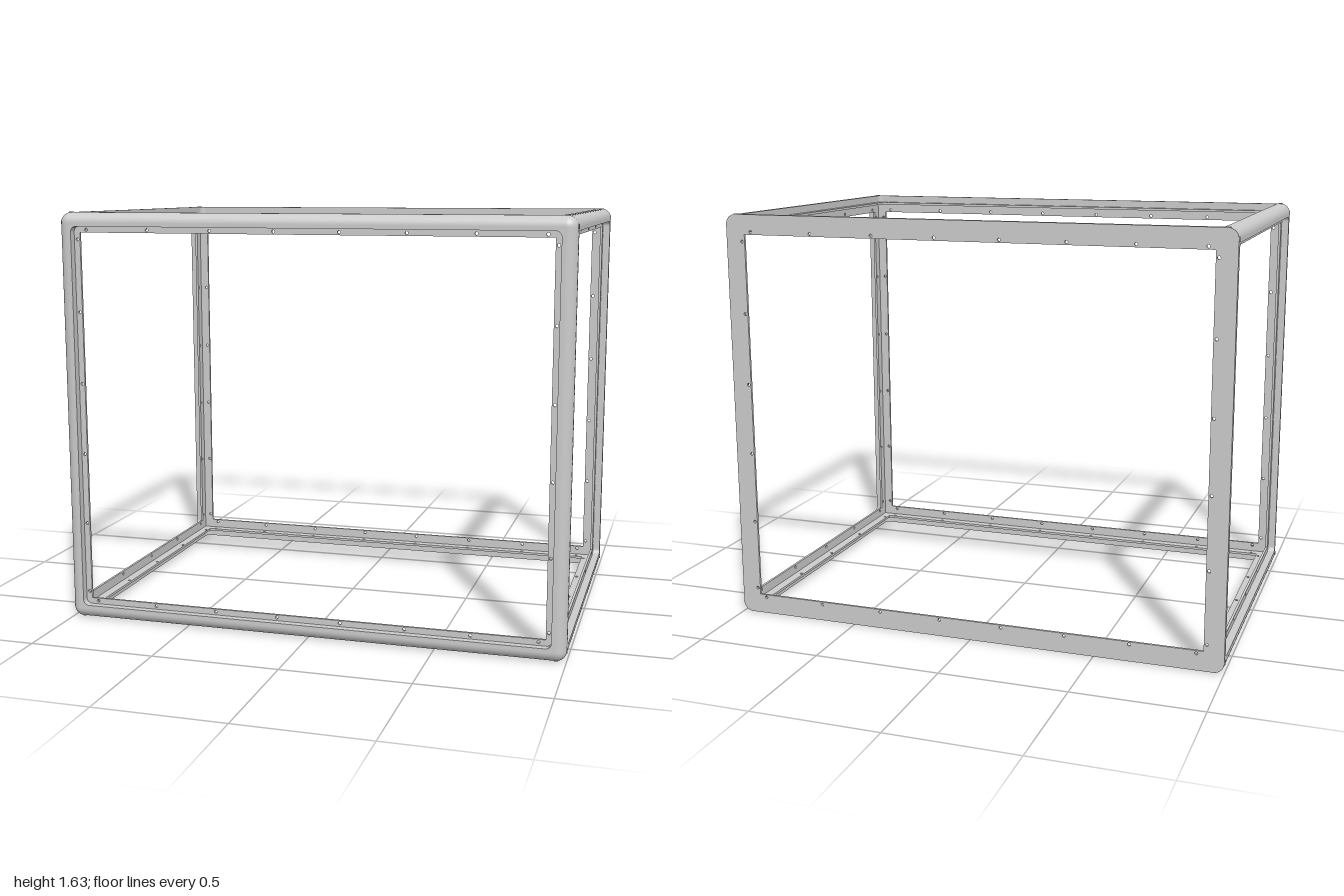
import * as THREE from 'three';

const HALF = [1, 0.816, 0.69];  // half extents, counting the edge cut off at the back
const R = 0.04;                 // outer edge radius, also the core bar thickness
const COVER = 0.054;            // inset of the raised border
const LIP = 0.078;              // inset of the opening
const RECESS = 0.03;            // depth of the lip below the outside
const SCREWS = [8, 6, 5];       // lip holes along x, y, z
const material = new THREE.MeshStandardMaterial({ color: 0xcccccc });

function add(parent, name, geometry) {
  const mesh = new THREE.Mesh(geometry, material);
  mesh.name = name;
  parent.add(mesh);
  return mesh;
}

// Bar (one sign is 0) or corner block (no zero), rounded on the outside
function coreBlock(signs) {
  const size = [], centre = [], segs = [];
  signs.forEach((s, i) => {
    const cut = i === 2 && s < 0 ? RECESS : 0;
    size[i] = s ? R - cut : 2 * (HALF[i] - R);
    centre[i] = s * (HALF[i] - R + size[i] / 2);
    segs[i] = s && !cut ? 8 : 1;
  });
  const g = new THREE.BoxGeometry(...size, ...segs).translate(...centre);
  const pos = g.attributes.position, nor = g.attributes.normal;
  const p = new THREE.Vector3(), n = new THREE.Vector3(), d = new THREE.Vector3();
  const inner = new THREE.Vector3(...HALF).subScalar(R);
  const low = new THREE.Vector3(-inner.x, -inner.y, -10); // flat at the back
  for (let i = 0; i < pos.count; i++) {
    p.fromBufferAttribute(pos, i);
    n.fromBufferAttribute(nor, i);
    const q = p.clone().clamp(low, inner);
    d.subVectors(p, q);
    const reach = Math.max(Math.abs(d.x), Math.abs(d.y), Math.abs(d.z));
    if (reach < 1e-6) continue;
    const outside = d.dot(n) > R - 1e-5;
    d.normalize();
    if (outside) nor.setXYZ(i, d.x, d.y, d.z);
    q.addScaledVector(d, reach);
    pos.setXYZ(i, q.x, q.y, q.z);
  }
  return g;
}

// Rectangle outline with optional rounded corners
function rect(target, a, b, r) {
  if (!r) {
    target.moveTo(-a, -b).lineTo(a, -b).lineTo(a, b).lineTo(-a, b).closePath();
    return target;
  }
  target.absarc(a - r, b - r, r, 0, Math.PI / 2);
  target.absarc(r - a, b - r, r, Math.PI / 2, Math.PI);
  target.absarc(r - a, r - b, r, Math.PI, Math.PI * 1.5);
  target.absarc(a - r, r - b, r, Math.PI * 1.5, Math.PI * 2);
  target.closePath();
  return target;
}

function extrude(shape, from, to) {
  return new THREE.ExtrudeGeometry(shape, { depth: to - from, bevelEnabled: false, curveSegments: 8 })
    .translate(0, 0, from);
}

// Recessed lip with screw holes, raised border and corner screws of one side
function sideFrame(name, [ia, ib, ic], rotation, hasCover, hasScrews) {
  const frame = new THREE.Group();
  frame.name = name;
  frame.rotation.set(...rotation);
  const a = HALF[ia], b = HALF[ib], c = HALF[ic];

  const lip = rect(new THREE.Shape(), a - R, b - R);
  lip.holes.push(rect(new THREE.Path(), a - LIP, b - LIP));
  const hole = (x, y) => lip.holes.push(new THREE.Path().absarc(x, y, 0.006, 0, Math.PI * 2));
  const line = (COVER + LIP) / 2 + 0.001;
  const spread = (half, n, i) => (half - 0.105) * (2 * i / (n - 1) - 1);
  for (const s of [-1, 1]) {
    for (let i = 0; i < SCREWS[ia]; i++) hole(spread(a, SCREWS[ia], i), s * (b - line));
    for (let i = 0; i < SCREWS[ib]; i++) hole(s * (a - line), spread(b, SCREWS[ib], i));
  }
  add(frame, 'screwLip', extrude(lip, c - R, c - RECESS));

  if (hasCover) {
    const border = rect(new THREE.Shape(), a - R, b - R);
    border.holes.push(rect(new THREE.Path(), a - COVER, b - COVER, 0.022));
    add(frame, 'raisedBorder', extrude(border, c - RECESS, c));
  }
  if (hasScrews) {
    for (const x of [-1, 1]) for (const y of [-1, 1]) {
      const screw = add(frame, 'cornerScrew', new THREE.CylinderGeometry(0.01, 0.01, 0.006, 16));
      screw.rotation.x = Math.PI / 2;
      screw.position.set(x * (a - R), y * (b - R), c - 0.0015);
    }
  }
  return frame;
}

export function createModel() {
  const model = new THREE.Group();
  model.name = 'boxFrame';
  const body = new THREE.Group();
  body.name = 'frame';
  body.position.set(0, HALF[1], -RECESS / 2);
  model.add(body);

  // Twelve edge bars and eight corners
  for (const x of [-1, 0, 1]) for (const y of [-1, 0, 1]) for (const z of [-1, 0, 1]) {
    const zeros = [x, y, z].filter((s) => s === 0).length;
    if (zeros < 2) add(body, zeros ? 'edgeBar' : 'cornerBlock', coreBlock([x, y, z]));
  }

  // Six sides; the back is flush and has no raised border
  const q = Math.PI / 2;
  body.add(
    sideFrame('frontSide', [0, 1, 2], [0, 0, 0], true, false),
    sideFrame('backSide', [0, 1, 2], [0, Math.PI, 0], false, false),
    sideFrame('leftSide', [2, 1, 0], [0, q, 0], true, true),
    sideFrame('rightSide', [2, 1, 0], [0, -q, 0], true, true),
    sideFrame('topSide', [0, 2, 1], [-q, 0, 0], true, true),
    sideFrame('bottomSide', [0, 2, 1], [q, 0, 0], true, true),
  );
  return model;
}
